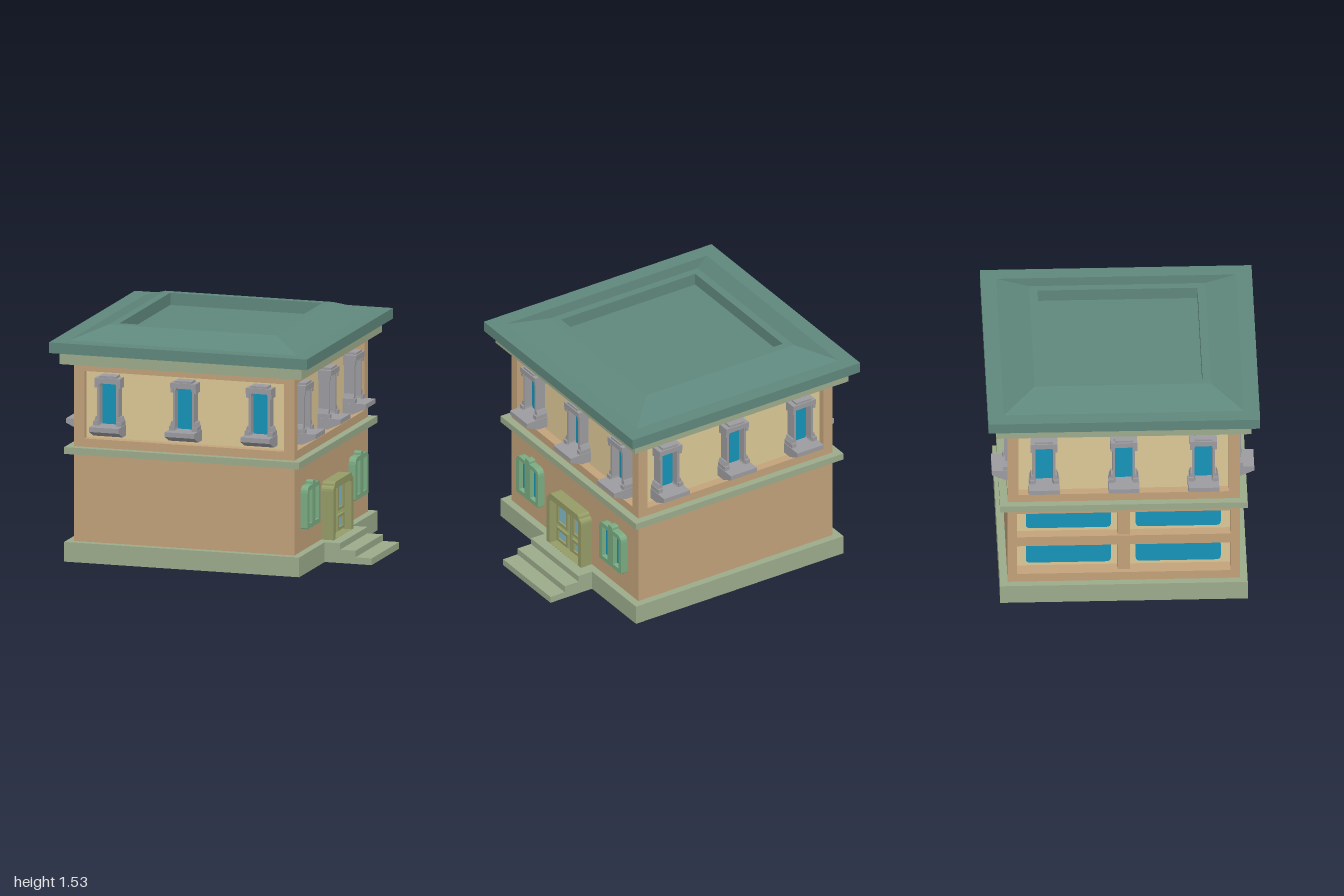
import * as THREE from 'three';

const mat = (color) => new THREE.MeshStandardMaterial({ color, flatShading: true });
const M = {
  wall: mat(0xc2a27a), panel: mat(0xdcc896), trim: mat(0x9cab8b), roof: mat(0x5f877c),
  stone: mat(0x9c9ca0), glass: mat(0x1693b8), shutter: mat(0x7aab82),
  doorFrame: mat(0x959c66), door: mat(0xa5b878), paleGlass: mat(0x82bcc8),
};
const CX = -0.12; // centre of the house along x
const HALF = 0.75; // wall planes lie this far from the centre

function add(parent, name, geometry, material) {
  const mesh = new THREE.Mesh(geometry, material);
  mesh.name = name;
  parent.add(mesh);
  return mesh;
}

// Box given by its limits on each axis
function box(parent, name, material, x0, x1, y0, y1, z0, z1) {
  const g = new THREE.BoxGeometry(x1 - x0, y1 - y0, z1 - z0);
  g.translate((x0 + x1) / 2, (y0 + y1) / 2, (z0 + z1) / 2);
  return add(parent, name, g, material);
}

// Rounded rectangle; r is the bottom radius, rt the top radius
function rect(x0, x1, y0, y1, r = 0, rt = r, Type = THREE.Shape) {
  const s = new Type();
  s.moveTo(x0 + r, y0);
  s.lineTo(x1 - r, y0);
  if (r) s.quadraticCurveTo(x1, y0, x1, y0 + r);
  s.lineTo(x1, y1 - rt);
  if (rt) s.quadraticCurveTo(x1, y1, x1 - rt, y1);
  s.lineTo(x0 + rt, y1);
  if (rt) s.quadraticCurveTo(x0, y1, x0, y1 - rt);
  s.lineTo(x0, y0 + r);
  if (r) s.quadraticCurveTo(x0, y0, x0 + r, y0);
  return s;
}
const hole = (x0, x1, y0, y1, r = 0, rt = r) => rect(x0, x1, y0, y1, r, rt, THREE.Path);

// Flat plate with optional holes, running from z0 to z1
function plate(parent, name, material, shape, holes, z0, z1) {
  shape.holes.push(...holes);
  const g = new THREE.ExtrudeGeometry(shape, { depth: z1 - z0, bevelEnabled: false, curveSegments: 4 });
  g.translate(0, 0, z0);
  return add(parent, name, g, material);
}

// Group for one wall: local +z points outward from the house
function wallSide(parent, name, angle) {
  const g = new THREE.Group();
  g.name = name;
  g.position.x = CX;
  g.rotation.y = angle;
  parent.add(g);
  return g;
}

// Upper window: stone surround, hood and sloping sill
function upperWindow(parent, u) {
  const g = new THREE.Group();
  g.name = 'upperWindow';
  g.position.x = u;
  parent.add(g);
  const half = [[0.095, 0.87], [0.095, 0.93], [0.083, 0.965], [0.073, 0.965], [0.073, 1.2]];
  const outline = new THREE.Shape([...half, ...half.map(([x, y]) => [-x, y]).reverse()]
    .map(([x, y]) => new THREE.Vector2(x, y)));
  plate(g, 'windowSurround', M.stone, outline, [hole(-0.057, 0.057, 0.895, 1.19, 0.03)], 0.69, 0.763);
  plate(g, 'windowPane', M.glass, rect(-0.06, 0.06, 0.89, 1.195, 0.03), [], 0.69, 0.705);
  box(g, 'windowHood', M.stone, -0.087, 0.087, 1.185, 1.22, 0.69, 0.778);
  box(g, 'hoodCap', M.stone, -0.058, 0.058, 1.22, 1.234, 0.69, 0.77);
  for (const s of [-1, 1]) {
    box(g, 'hoodDrop', M.stone, s * 0.076 - 0.011, s * 0.076 + 0.011, 1.155, 1.185, 0.69, 0.772);
    box(g, 'sillCheek', M.stone, s * 0.079 - 0.017, s * 0.079 + 0.017, 0.9, 0.935, 0.69, 0.775);
  }
  const profile = [[0.69, 0.835], [0.758, 0.835], [0.848, 0.876], [0.848, 0.907], [0.69, 0.907]];
  const sill = new THREE.ExtrudeGeometry(new THREE.Shape(profile.map((p) => new THREE.Vector2(...p))),
    { depth: 0.2, bevelEnabled: false });
  sill.rotateY(-Math.PI / 2).translate(0.1, 0, 0);
  add(g, 'windowSill', sill, M.stone);
}

// Ground-floor window with two tall panes
function groundWindow(parent, u) {
  const g = new THREE.Group();
  g.name = 'groundWindow';
  g.position.x = u;
  parent.add(g);
  const panes = [-0.065, 0.065];
  plate(g, 'windowFrame', M.shutter, rect(-0.13, 0.13, 0.28, 0.56, 0.008, 0.045),
    panes.map((p) => hole(p - 0.032, p + 0.032, 0.31, 0.53)), HALF, 0.798);
  plate(g, 'frameCrest', M.shutter, rect(-0.025, 0.025, 0.55, 0.582, 0, 0.012), [], HALF, 0.798);
  for (const p of panes) box(g, 'windowPane', M.glass, p - 0.033, p + 0.033, 0.309, 0.531, 0.74, 0.765);
}

// Double door inside a thick surround
function doorway(parent) {
  const g = new THREE.Group();
  g.name = 'doorway';
  parent.add(g);
  plate(g, 'doorSurround', M.doorFrame, rect(-0.203, 0.203, 0.13, 0.485, 0, 0.035),
    [hole(-0.168, 0.168, 0.131, 0.462, 0, 0.015)], HALF, 0.835);
  plate(g, 'doorHeader', M.doorFrame, rect(-0.177, 0.177, 0.465, 0.508, 0, 0.025), [], HALF, 0.835);
  for (const s of [-1, 1]) {
    const c = s * 0.09;
    const openings = [[0.045, 0.295, 0.445], [0.045, 0.165, 0.228]];
    box(g, 'doorLeaf', M.door, c - 0.08, c + 0.08, 0.13, 0.465, HALF, 0.773);
    for (const [w, y0, y1] of openings) {
      plate(g, 'doorMoulding', M.doorFrame, rect(c - w - 0.018, c + w + 0.018, y0 - 0.018, y1 + 0.018),
        [hole(c - w, c + w, y0, y1)], 0.77, 0.79);
      box(g, 'doorPane', M.paleGlass, c - w, c + w, y0, y1, 0.77, 0.777);
    }
  }
  box(g, 'doorMeetingRail', M.doorFrame, -0.01, 0.01, 0.13, 0.465, HALF, 0.78);
}

// Large four-pane window set into the ground floor
function storefront(parent) {
  const g = new THREE.Group();
  g.name = 'storefront';
  parent.add(g);
  plate(g, 'storefrontWall', M.wall, rect(-HALF, HALF, 0.13, 0.71), [hole(-0.69, 0.69, 0.19, 0.66)], 0.65, HALF);
  box(g, 'storefrontBacking', M.panel, -0.69, 0.69, 0.19, 0.66, 0.64, 0.653);
  box(g, 'storefrontBeam', M.wall, -0.69, 0.69, 0.39, 0.46, 0.65, 0.725);
  box(g, 'storefrontPillar', M.wall, -0.04, 0.04, 0.19, 0.66, 0.65, 0.715);
  for (const s of [-1, 1]) for (const y of [0.215, 0.485]) {
    const a = s * 0.355;
    plate(g, 'storefrontPane', M.glass, rect(a - 0.275, a + 0.275, y, y + 0.15, 0.03), [], 0.65, 0.66);
  }
}

export function createModel() {
  const model = new THREE.Group();
  model.name = 'house';
  // Slab centred on the house, with half-width h
  const slab = (name, m, h, y0, y1) => box(model, name, m, CX - h, CX + h, y0, y1, -h, h);

  // Base and entrance steps
  slab('base', M.trim, 0.8, 0, 0.13);
  [[0.785, 0.13], [0.89, 0.088], [1, 0.044]].forEach(([x, y], i) =>
    box(model, 'step', M.trim, [0.68, 0.785, 0.89][i], x, 0, y, -0.28, 0.28));

  // Floors and trim bands
  box(model, 'groundFloor', M.wall, CX - 0.65, CX + HALF, 0.13, 0.71, -HALF, HALF);
  slab('floorBand', M.trim, 0.8, 0.71, 0.755);
  slab('upperFloor', M.panel, 0.69, 0.755, 1.305);
  slab('cornice', M.trim, 0.823, 1.305, 1.385);

  // Roof slab and hipped rim around a sunken square
  slab('roofSlab', M.roof, 0.878, 1.385, 1.455);
  const rim = [[0.78, 1.453], [0.57, 1.535], [0.517, 1.535], [0.517, 1.453]]
    .map(([r, y]) => new THREE.Vector2(r * Math.SQRT2, y));
  const roofRim = add(model, 'roofRim', new THREE.LatheGeometry(rim, 4).rotateY(Math.PI / 4), M.roof);
  roofRim.position.x = CX;

  // Four upper walls, each a frame around a recessed panel with three windows
  const names = ['frontSide', 'leftSide', 'backSide', 'rightSide'];
  const sides = names.map((name, i) => wallSide(model, name, (i * Math.PI) / 2));
  sides.forEach((side, i) => {
    const w = i % 2 ? 0.7499 : HALF;
    plate(side, 'upperWallFrame', M.wall, rect(-w, w, 0.755, 1.305),
      [hole(-0.703, 0.703, 0.81, 1.255)], 0.68, HALF);
    for (const u of [-0.515, 0, 0.515]) upperWindow(side, u);
  });

  // Entrance wall and storefront wall
  doorway(sides[1]);
  for (const u of [-0.49, 0.49]) groundWindow(sides[1], u);
  storefront(sides[3]);
  return model;
}
